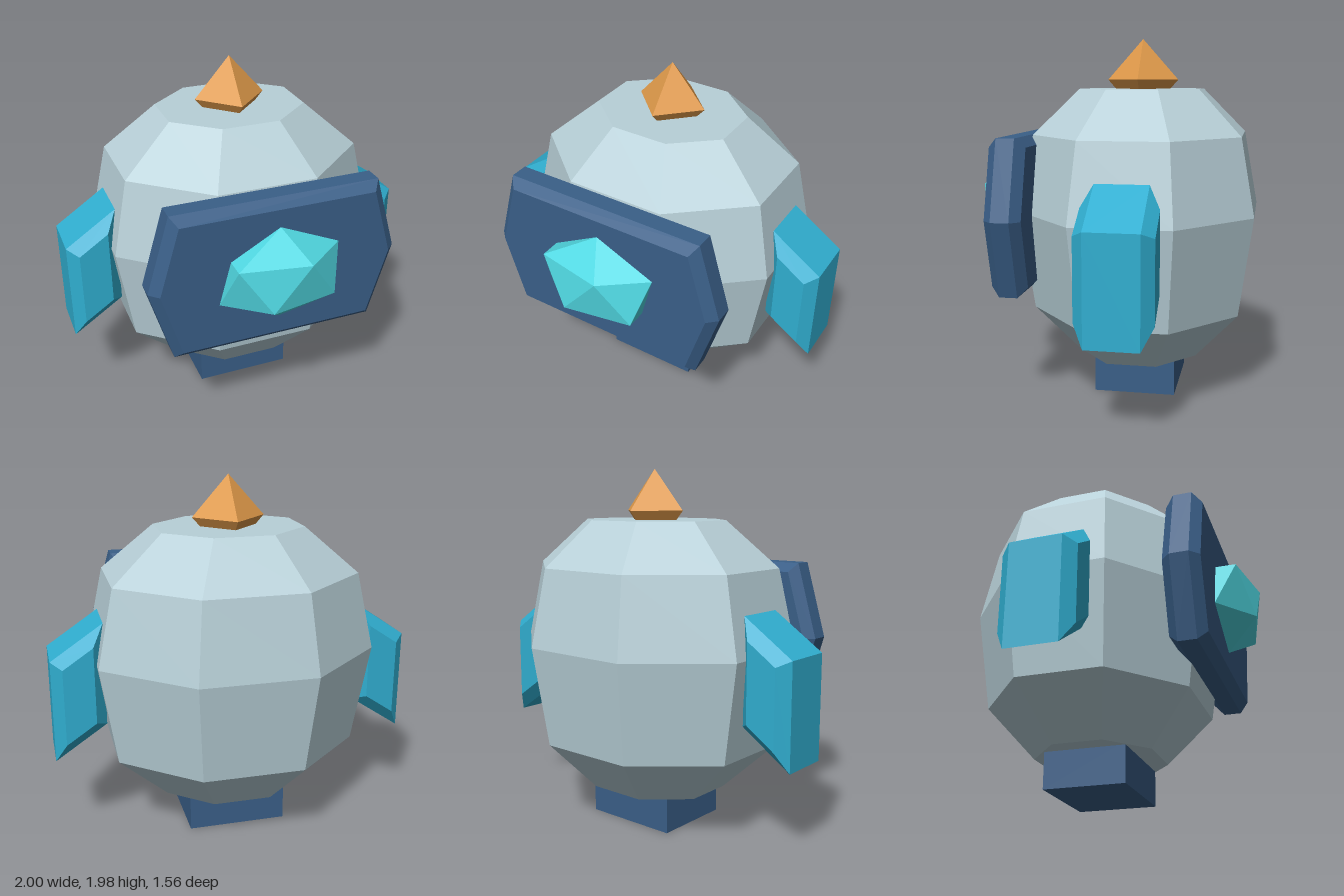
import * as THREE from 'three';
import { ConvexGeometry } from 'three/addons/geometries/ConvexGeometry.js';

const CZ = -0.135; // centre of the body along z

function material(name, color) {
  const m = new THREE.MeshStandardMaterial({ color });
  m.name = name;
  return m;
}

// Separate the faces so each one is shaded flat
function faceted(geometry) {
  const g = geometry.index ? geometry.toNonIndexed() : geometry;
  g.computeVertexNormals();
  return g;
}

// Move every edge of a counter-clockwise convex outline inwards by d
function inset(outline, d) {
  const n = outline.length;
  return outline.map((p, i) => {
    const a = p.clone().sub(outline[(i + n - 1) % n]).normalize();
    const b = outline[(i + 1) % n].clone().sub(p).normalize();
    const na = new THREE.Vector2(-a.y, a.x);
    const nb = new THREE.Vector2(-b.y, b.x);
    return na.clone().add(nb).multiplyScalar(d / (1 + na.dot(nb))).add(p);
  });
}

// Convex plate between z0 and z1 with chamfered rims; side = -1 mirrors it in x
function chamferedPlate(corners, z0, z1, d, side = 1) {
  const outer = corners.map(([x, y]) => new THREE.Vector2(x, y));
  const inner = inset(outer, d);
  const points = [];
  for (const [loop, z] of [[inner, z0], [outer, z0 + d], [outer, z1 - d], [inner, z1]]) {
    for (const p of loop) points.push(new THREE.Vector3(side * p.x, p.y, z));
  }
  return new ConvexGeometry(points);
}

export function createModel() {
  const group = new THREE.Group();
  const shell = material('pale grey blue', 0xb8d0d8);
  const navy = material('navy', 0x3a5f88);
  const cyan = material('cyan', 0x30aed0);
  const aqua = material('aqua', 0x50d8e2);
  const orange = material('orange', 0xe09a4a);

  const add = (name, geometry, mat) => {
    const mesh = new THREE.Mesh(geometry, mat);
    mesh.name = name;
    group.add(mesh);
    return mesh;
  };

  // Eight-sided head, flattened front to back
  const k = 1 / Math.cos(Math.PI / 8);
  const profile = [[0, 0.2], [0.39, 0.2], [0.67, 0.475], [0.76, 1.025], [0.67, 1.45], [0.39, 1.7], [0, 1.7]]
    .map(([r, y]) => new THREE.Vector2(r * k, y));
  const head = new THREE.LatheGeometry(profile, 8, Math.PI / 8);
  head.scale(1, 1, 0.85).translate(0, 0, CZ);
  add('head', faceted(head), shell);

  // Neck block
  add('neck', new THREE.BoxGeometry(0.55, 0.22, 0.45).translate(0, 0.11, CZ), navy);

  // Hexagonal visor
  const visor = [[-0.7, 1.025], [-0.575, 0.6], [0.575, 0.6], [0.7, 1.025], [0.575, 1.45], [-0.575, 1.45]];
  add('visor', chamferedPlate(visor, 0.4, 0.6, 0.05), navy);

  // Stretched twenty-sided eye gem, half sunk in the visor
  const gem = [new THREE.Vector3(0, 1.3, 0.6), new THREE.Vector3(0, 0.755, 0.6)];
  for (const [y, start] of [[1.15, 18], [0.905, 54]]) {
    for (let i = 0; i < 5; i++) {
      const a = THREE.MathUtils.degToRad(start + 72 * i);
      gem.push(new THREE.Vector3(0.335 * Math.sin(a), y, 0.6 + 0.19 * Math.cos(a)));
    }
  }
  add('eyeGem', new ConvexGeometry(gem), aqua);

  // Slanted ear pods
  const ear = [[0.715, 0.672], [1, 0.48], [1, 1.05], [0.715, 1.242]];
  for (const [name, side] of [['leftEar', 1], ['rightEar', -1]]) {
    add(name, chamferedPlate(ear, -0.34, 0.06, 0.06, side), cyan);
  }

  // Eight-faced crystal on the crown
  const crystal = new THREE.OctahedronGeometry(1);
  crystal.scale(0.2, 0.225, 0.2).translate(0, 1.75, CZ);
  add('crownCrystal', faceted(crystal), orange);

  return group;
}
